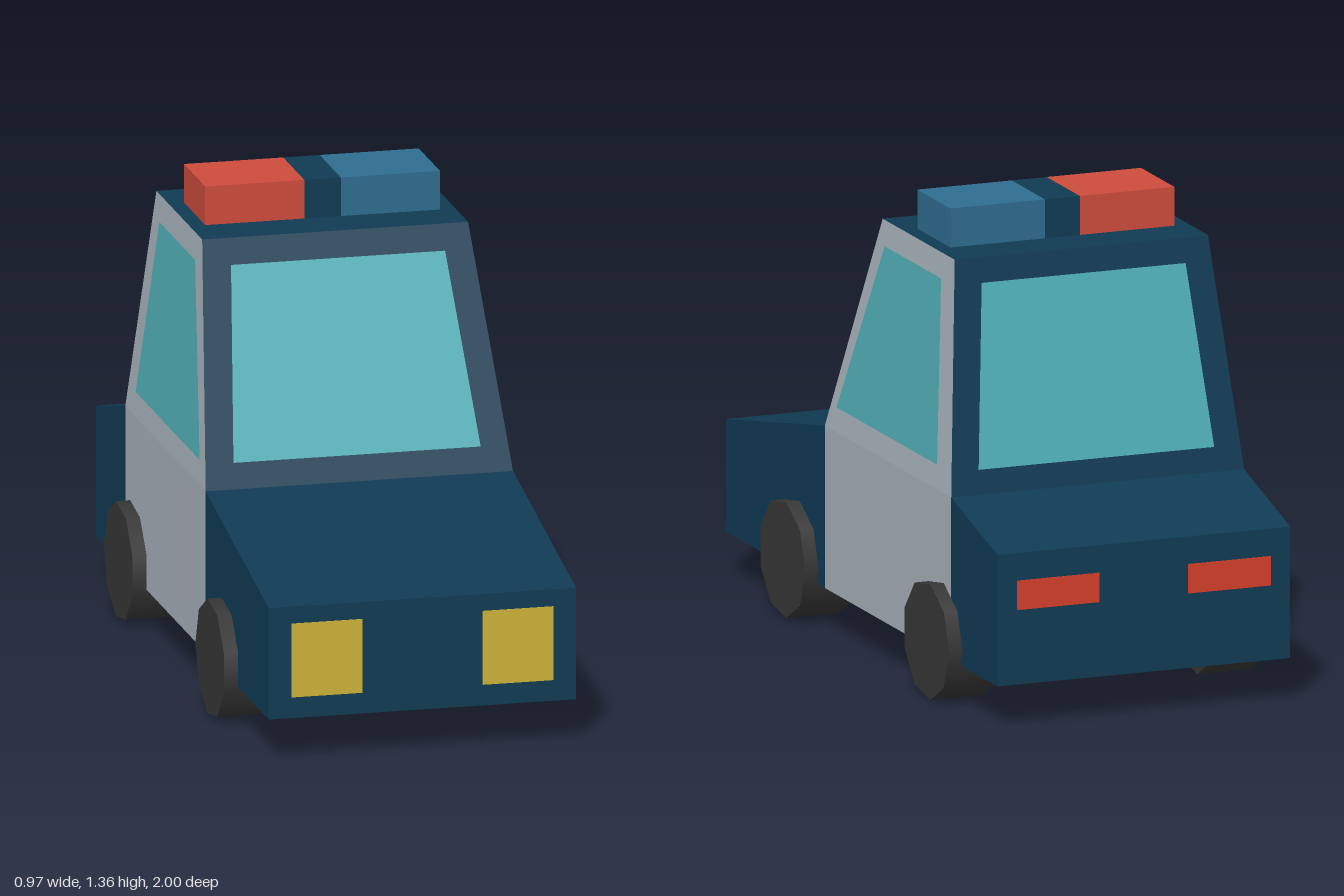
import * as THREE from 'three';

const paint = (name, color) => Object.assign(new THREE.MeshStandardMaterial({ color }), { name });

export function createModel() {
  const car = new THREE.Group();
  car.name = 'patrolCar';

  const navy = paint('navy', 0x103b54);
  const grey = paint('doorGrey', 0xa7b1bb);
  const glass = paint('glass', 0x50afb7);
  const rubber = paint('rubber', 0x363636);
  const yellow = paint('headlightYellow', 0xcdb338);
  const red = paint('beaconRed', 0xcd4c3c);
  const blue = paint('beaconBlue', 0x2f6d90);
  const tailRed = paint('tailRed', 0xd63f2b);

  const add = (name, geometry, material) => {
    const mesh = new THREE.Mesh(geometry, material);
    mesh.name = name;
    car.add(mesh);
    return mesh;
  };

  // Box whose corners are placed by a rule taking the corner signs
  const shapedBox = (name, material, rule) => {
    const g = new THREE.BoxGeometry(2, 2, 2);
    const p = g.attributes.position;
    for (let i = 0; i < p.count; i++) p.setXYZ(i, ...rule(p.getX(i), p.getY(i), p.getZ(i)));
    g.computeVertexNormals();
    return add(name, g, material);
  };

  // Flat panel with corners listed counter-clockwise from outside
  const panel = (name, material, corners) => {
    const g = new THREE.BufferGeometry();
    g.setAttribute('position', new THREE.Float32BufferAttribute(corners.flat(), 3));
    g.setIndex([0, 1, 2, 0, 2, 3]);
    g.computeVertexNormals();
    return add(name, g, material);
  };

  // Main dimensions
  const W = 0.445, ROOF_W = 0.385;
  const FLOOR = 0.125, BELT = 0.595, ROOF = 1.25;
  const FRONT = 0.27, BACK = -0.66, ROOF_FRONT = -0.01, ROOF_BACK = -0.54;
  const lift = 0.004;

  // Bonnet and boot slope down away from the cabin
  shapedBox('bonnet', navy, (x, y, z) =>
    [x * W, y < 0 ? FLOOR : z > 0 ? 0.45 : BELT, z > 0 ? 1 : FRONT]);
  shapedBox('boot', navy, (x, y, z) =>
    [x * W, y < 0 ? FLOOR : z > 0 ? BELT : 0.505, z > 0 ? BACK : -1]);

  // Cabin: grey sides, navy elsewhere
  const cabinPaint = [grey, grey, navy, navy, navy, navy];
  shapedBox('doors', cabinPaint, (x, y, z) =>
    [x * W, y > 0 ? BELT : FLOOR, z > 0 ? FRONT : BACK]);
  shapedBox('cabin', cabinPaint, (x, y, z) => y > 0
    ? [x * ROOF_W, ROOF, z > 0 ? ROOF_FRONT : ROOF_BACK]
    : [x * W, BELT, z > 0 ? FRONT : BACK]);

  // Windows lie just outside the sloping cabin walls
  const lo = 0.665, hi = 1.18;
  const slope = (a, b, y) => THREE.MathUtils.lerp(a, b, (y - BELT) / (ROOF - BELT));
  for (const [name, a, b, s] of [
    ['windscreen', FRONT, ROOF_FRONT, 1],
    ['rearWindow', BACK, ROOF_BACK, -1],
  ]) {
    const zLo = slope(a, b, lo) + s * lift, zHi = slope(a, b, hi) + s * lift;
    panel(name, glass, [
      [-s * 0.358, lo, zLo], [s * 0.358, lo, zLo], [s * 0.31, hi, zHi], [-s * 0.31, hi, zHi],
    ]);
  }
  for (const s of [1, -1]) {
    const xLo = s * (slope(W, ROOF_W, lo) + lift), xHi = s * (slope(W, ROOF_W, hi) + lift);
    const corners = [[xLo, lo, 0.19], [xLo, lo, -0.55], [xHi, hi, -0.465], [xHi, hi, -0.05]];
    panel(s > 0 ? 'leftWindow' : 'rightWindow', glass, s > 0 ? corners : corners.reverse());
  }

  // Headlights and tail lights
  const lamp = (name, material, x, y, z, w, h) =>
    add(name, new THREE.BoxGeometry(w, h, 0.006), material).position.set(x, y, z);
  for (const s of [1, -1]) {
    lamp('headlight', yellow, s * 0.277, 0.293, 0.999, 0.205, 0.215);
    lamp('tailLight', tailRed, s * 0.26, 0.383, -0.999, 0.25, 0.085);
  }

  // Roof light bar
  for (const [name, material, x0, x1] of [
    ['redBeacon', red, -0.34, -0.053],
    ['beaconCentre', navy, -0.053, 0.053],
    ['blueBeacon', blue, 0.053, 0.34],
  ]) {
    add(name, new THREE.BoxGeometry(x1 - x0, 0.115, 0.245), material)
      .position.set((x0 + x1) / 2, 1.305, -0.278);
  }

  // Nine-sided wheels
  const wheel = new THREE.CylinderGeometry(0.17, 0.17, 0.16, 9, 1, false, Math.PI);
  wheel.rotateZ(-Math.PI / 2);
  for (const s of [1, -1]) {
    for (const [name, z] of [['frontWheel', 0.485], ['rearWheel', -0.575]]) {
      add(name, wheel, rubber).position.set(s * 0.406, 0.168, z);
    }
  }

  return car;
}
